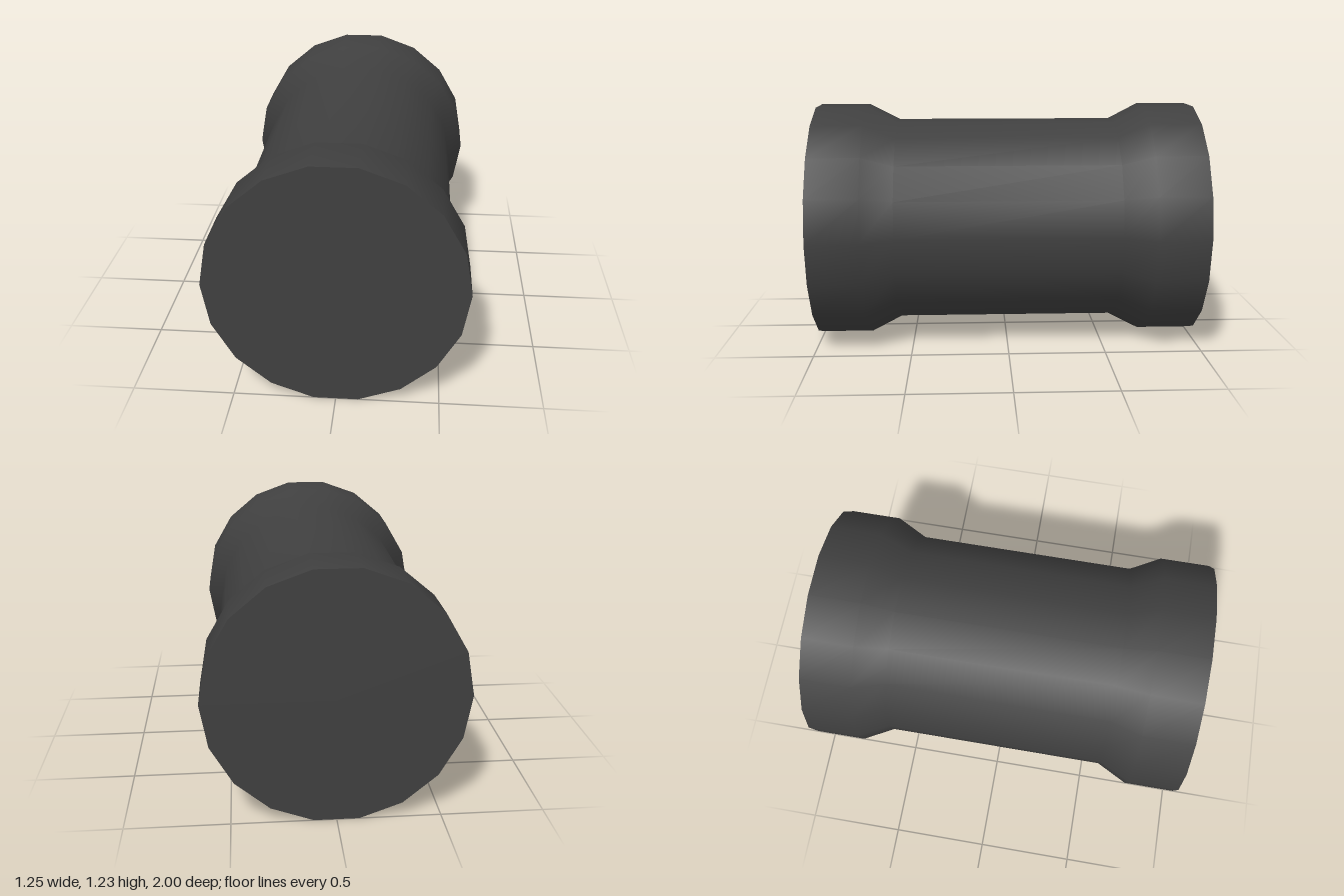
import * as THREE from 'three';

export function createModel() {
  const group = new THREE.Group();
  group.name = 'flaredRoller';
  const material = new THREE.MeshStandardMaterial({ color: 0x404040 });
  const sides = 18, endRadius = 0.626, waistRadius = 0.544;
  const centreY = endRadius * Math.cos(Math.PI / sides);

  // Smooth body: two wide ends tapering to a narrower waist, turned along z
  const profile = [
    [endRadius, -1], [endRadius, -0.735], [waistRadius, -0.575],
    [waistRadius, 0.575], [endRadius, 0.735], [endRadius, 1],
  ].map(([r, z]) => new THREE.Vector2(r, z));
  const bodyGeometry = new THREE.LatheGeometry(profile, sides, Math.PI / 2);
  bodyGeometry.rotateX(Math.PI / 2);
  const body = new THREE.Mesh(bodyGeometry, material);
  body.name = 'body';
  body.position.y = centreY;
  group.add(body);

  // Flat end caps with sharp rims
  for (const side of [1, -1]) {
    const cap = new THREE.Mesh(new THREE.CircleGeometry(endRadius, sides), material);
    cap.name = side > 0 ? 'frontCap' : 'backCap';
    cap.position.set(0, centreY, side);
    if (side < 0) cap.rotation.y = Math.PI;
    group.add(cap);
  }
  return group;
}
